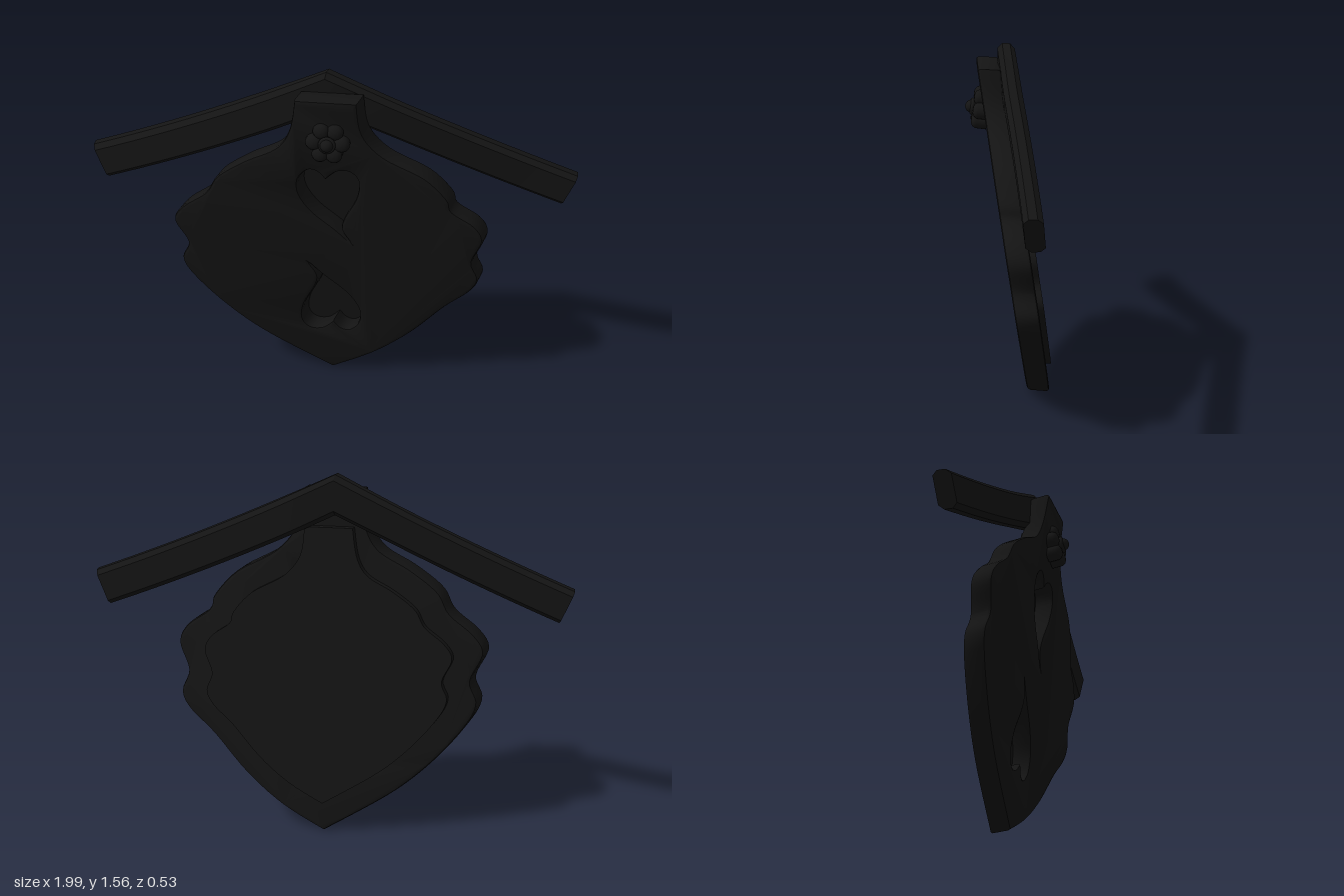
import * as THREE from 'three';
import { toCreasedNormals, mergeVertices } from 'three/addons/utils/BufferGeometryUtils.js';

const material = new THREE.MeshStandardMaterial({ color: 0x141414 });

// The plate leans back towards its foot and is swept back towards +x
const SWEEP = -0.24, LEAN = 0.148, FRONT = -0.03, THICK = 0.1;
const lean = new THREE.Matrix4().set(
  1, 0, 0, 0,
  0, 1, 0, 0,
  SWEEP, LEAN, 1, FRONT,
  0, 0, 0, 1);

const vec = (pts) => pts.map(([x, y]) => new THREE.Vector2(x, y));

function addMesh(group, name, geometry) {
  const mesh = new THREE.Mesh(geometry, material);
  mesh.name = name;
  group.add(mesh);
  return mesh;
}

// Scalloped outline, down the -x side to the tip and up the +x side
const leftEdge = vec([[-0.09, 1.48], [-0.12, 1.33], [-0.18, 1.235], [-0.31, 1.16], [-0.43, 1.07],
  [-0.485, 0.98], [-0.59, 0.895], [-0.635, 0.815], [-0.59, 0.695], [-0.623, 0.6], [-0.58, 0.495],
  [-0.45, 0.33], [-0.285, 0.18], [-0.012, 0]]);
const rightEdge = vec([[-0.012, 0], [0.17, 0.105], [0.33, 0.24], [0.48, 0.41], [0.585, 0.51],
  [0.625, 0.59], [0.6, 0.685], [0.643, 0.805], [0.61, 0.885], [0.52, 0.955], [0.5, 1.02],
  [0.41, 1.125], [0.25, 1.22], [0.17, 1.33], [0.155, 1.48]]);

function outline(scale = 1) {
  const fit = (p) => new THREE.Vector2(p.x * scale, 0.7 + (p.y - 0.7) * scale);
  const pts = [
    ...new THREE.SplineCurve(leftEdge).getPoints(70),
    ...new THREE.SplineCurve(rightEdge).getPoints(70).slice(1),
  ];
  return new THREE.Shape(pts.map(fit));
}

// Curled heart: notch, right lobe, tip, left lobe
function heart(place) {
  const right = vec([[0.01, 1.085], [0.06, 1.13], [0.115, 1.13], [0.145, 1.08], [0.13, 0.99], [0.08, 0.89], [0.065, 0.82], [0.1, 0.75]]);
  const left = vec([[0.1, 0.75], [0.04, 0.82], [-0.05, 0.91], [-0.1, 1.0], [-0.1, 1.08], [-0.06, 1.13], [-0.02, 1.125], [0.01, 1.085]]);
  const pts = [
    ...new THREE.SplineCurve(right).getPoints(28),
    ...new THREE.SplineCurve(left).getPoints(28).slice(1, -1),
  ];
  return new THREE.Path(pts.map(place));
}

function buildPlate(group) {
  const shape = outline();
  shape.holes.push(
    heart((p) => p.clone()),
    heart((p) => new THREE.Vector2(0.015 - p.x, 1.375 - p.y)));
  const bevel = 0.014;
  const plate = new THREE.ExtrudeGeometry(shape, {
    depth: THICK - 2 * bevel, bevelThickness: bevel, bevelSize: bevel, bevelOffset: -bevel, bevelSegments: 2,
  });
  plate.translate(0, 0, bevel - THICK).applyMatrix4(lean);
  addMesh(group, 'plate', toCreasedNormals(plate, 0.5));

  // Raised backing sheet, which also closes the heart cut-outs
  const back = new THREE.ExtrudeGeometry(outline(0.81), { depth: 0.035, bevelEnabled: false });
  back.translate(0, 0, -THICK - 0.025).applyMatrix4(lean);
  addMesh(group, 'backPanel', toCreasedNormals(back, 0.5));
}

function buildFlower(group) {
  const flower = new THREE.Group();
  flower.name = 'flower';
  const cx = 0.035, cy = 1.29;
  flower.position.set(cx, cy, FRONT + SWEEP * cx + LEAN * cy);
  flower.rotation.set(-Math.atan(LEAN), -Math.atan(SWEEP), 0);
  // Pillow-shaped petals around a ringed dome
  const petal = new THREE.LatheGeometry(vec([[0.034, -0.02], [0.034, 0.025], [0.027, 0.038], [0.014, 0.045], [0, 0.046]]), 20);
  petal.rotateX(Math.PI / 2);
  for (let i = 0; i < 6; i++) {
    const a = (i / 6) * Math.PI * 2;
    addMesh(flower, 'petal', petal).position.set(Math.cos(a) * 0.057, Math.sin(a) * 0.057, 0);
  }
  const ring = addMesh(flower, 'flowerRing', new THREE.TorusGeometry(0.027, 0.009, 10, 28));
  ring.position.z = 0.047;
  const dome = addMesh(flower, 'flowerCentre', new THREE.SphereGeometry(0.027, 20, 14));
  dome.position.z = 0.05;
  group.add(flower);
}

// Chamfered strap with a sharp peak in the middle and two slightly sagging arms
function buildStrap(group) {
  const section = [[1, -0.45], [1, 0.45], [0.75, 1], [-0.75, 1], [-1, 0.45], [-1, -0.45], [-0.75, -1], [0.75, -1]];
  const n = section.length, steps = 14;
  const peak = new THREE.Vector3(0, 1.473, 0.062);
  const arms = [
    { end: new THREE.Vector3(-0.965, 1.047, 0.225), sag: new THREE.Vector3(-0.48, 1.232, 0.155), side: -1 },
    { end: new THREE.Vector3(0.958, 1.047, -0.23), sag: new THREE.Vector3(0.48, 1.232, -0.1), side: 1 },
  ];
  const pos = [], index = [];
  const addSection = ({ end, sag, side }, t) => {
    const c = new THREE.QuadraticBezierCurve3(peak, sag, end).getPoint(t);
    const k = Math.min(1, t * 4);
    const up = new THREE.Vector3(side * 0.03 * k, 0.087 - 0.015 * k, 0);
    const out = new THREE.Vector3(0.009 * k, 0, 0.037);
    for (const [u, w] of section) {
      const p = c.clone().addScaledVector(up, u).addScaledVector(out, w);
      pos.push(p.x, p.y, p.z);
    }
  };
  for (let i = steps; i > 0; i--) addSection(arms[0], i / steps);
  for (let i = 0; i <= steps; i++) addSection(arms[1], i / steps);
  const last = 2 * steps * n;
  for (let s = 0; s < 2 * steps; s++) {
    for (let i = 0; i < n; i++) {
      const a = s * n + i, d = s * n + ((i + 1) % n), b = a + n, c = d + n;
      index.push(a, d, b, d, c, b);
    }
  }
  for (let i = 1; i < n - 1; i++) {
    index.push(0, i + 1, i, last, last + i, last + i + 1);
  }
  const geometry = new THREE.BufferGeometry();
  geometry.setAttribute('position', new THREE.Float32BufferAttribute(pos, 3));
  geometry.setIndex(index);
  addMesh(group, 'strap', toCreasedNormals(mergeVertices(geometry), 0.4));
}

export function createModel() {
  const model = new THREE.Group();
  model.name = 'hangingPlate';
  buildPlate(model);
  buildFlower(model);
  buildStrap(model);
  return model;
}
